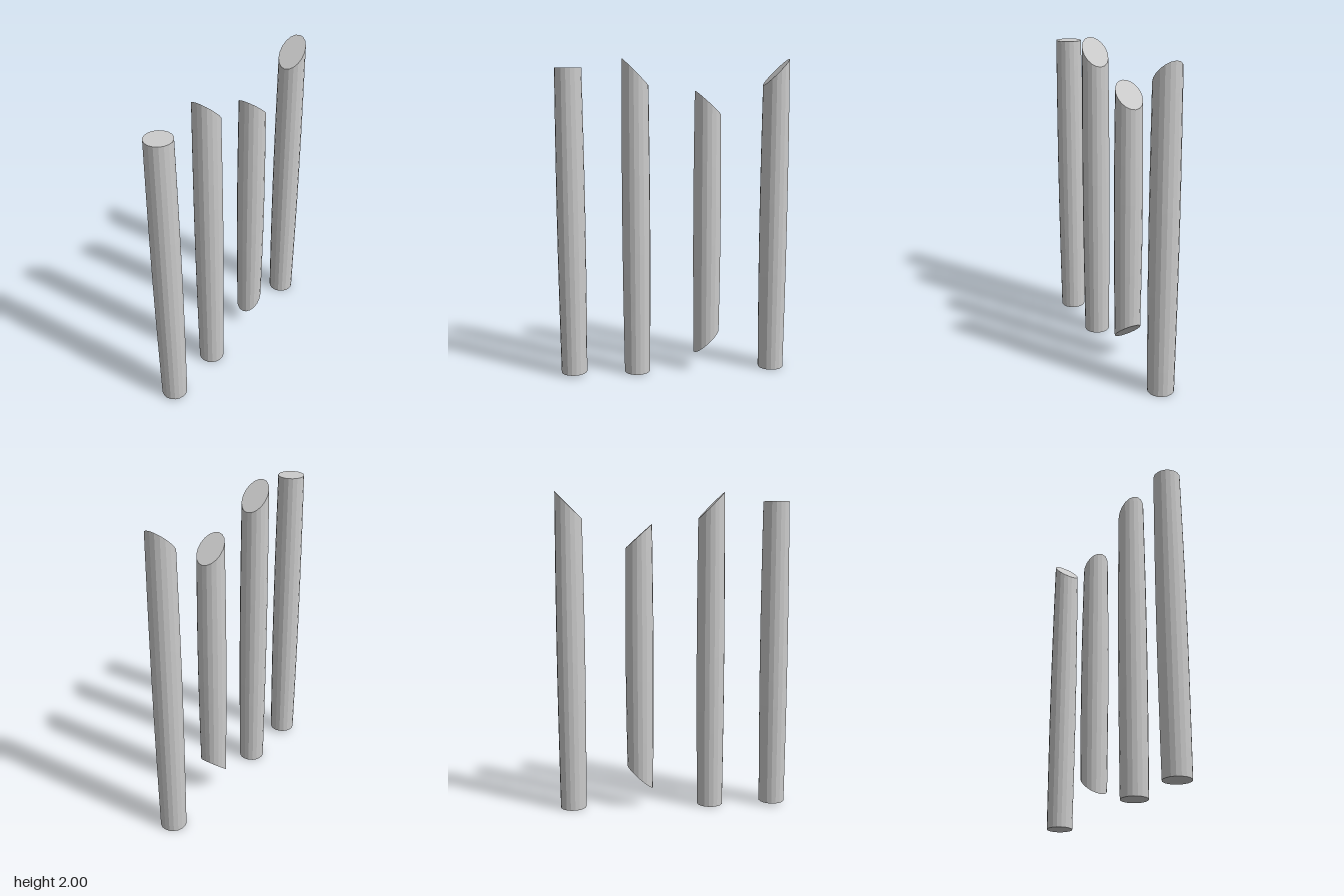
import * as THREE from 'three';

const END_RADIUS = 0.082;
const BULGE = 0.0065;
const SIDES = 18;
const RINGS = 12;

// Slightly swollen rod; each end is a plane given by its height at the axis
// and its slope along z, so ends can be square or cut at an angle.
function rodGeometry(bottom, bottomSlope, top, topSlope) {
  const geo = new THREE.CylinderGeometry(1, 1, 1, SIDES, RINGS);
  const pos = geo.attributes.position;
  for (let i = 0; i < pos.count; i++) {
    const t = pos.getY(i) + 0.5;
    const r = END_RADIUS + BULGE * Math.sin(Math.PI * t);
    const x = pos.getX(i) * r;
    const z = pos.getZ(i) * r;
    const low = bottom + bottomSlope * z;
    const high = top + topSlope * z;
    pos.setXYZ(i, x, low + (high - low) * t, z);
  }
  geo.computeVertexNormals();
  return geo;
}

export function createModel() {
  const group = new THREE.Group();
  group.name = 'rods';
  const material = new THREE.MeshStandardMaterial({ color: 0xcccccc, flatShading: true });

  const rods = [
    // square at both ends
    { name: 'squareRod', z: 0.645, bottom: 0.015, bottomSlope: 0, top: 1.943, topSlope: 0 },
    // top cut facing the back
    { name: 'frontSlantedRod', z: 0.238, bottom: 0.003, bottomSlope: 0, top: 1.918, topSlope: 1 },
    // short, cut at both ends
    { name: 'doubleSlantedRod', z: -0.214, bottom: 0.192, bottomSlope: -0.9, top: 1.731, topSlope: 0.9 },
    // top cut facing the front
    { name: 'backSlantedRod', z: -0.645, bottom: 0, bottomSlope: 0, top: 1.918, topSlope: -1 },
  ];

  for (const r of rods) {
    const mesh = new THREE.Mesh(rodGeometry(r.bottom, r.bottomSlope, r.top, r.topSlope), material);
    mesh.name = r.name;
    mesh.position.z = r.z;
    group.add(mesh);
  }
  return group;
}
